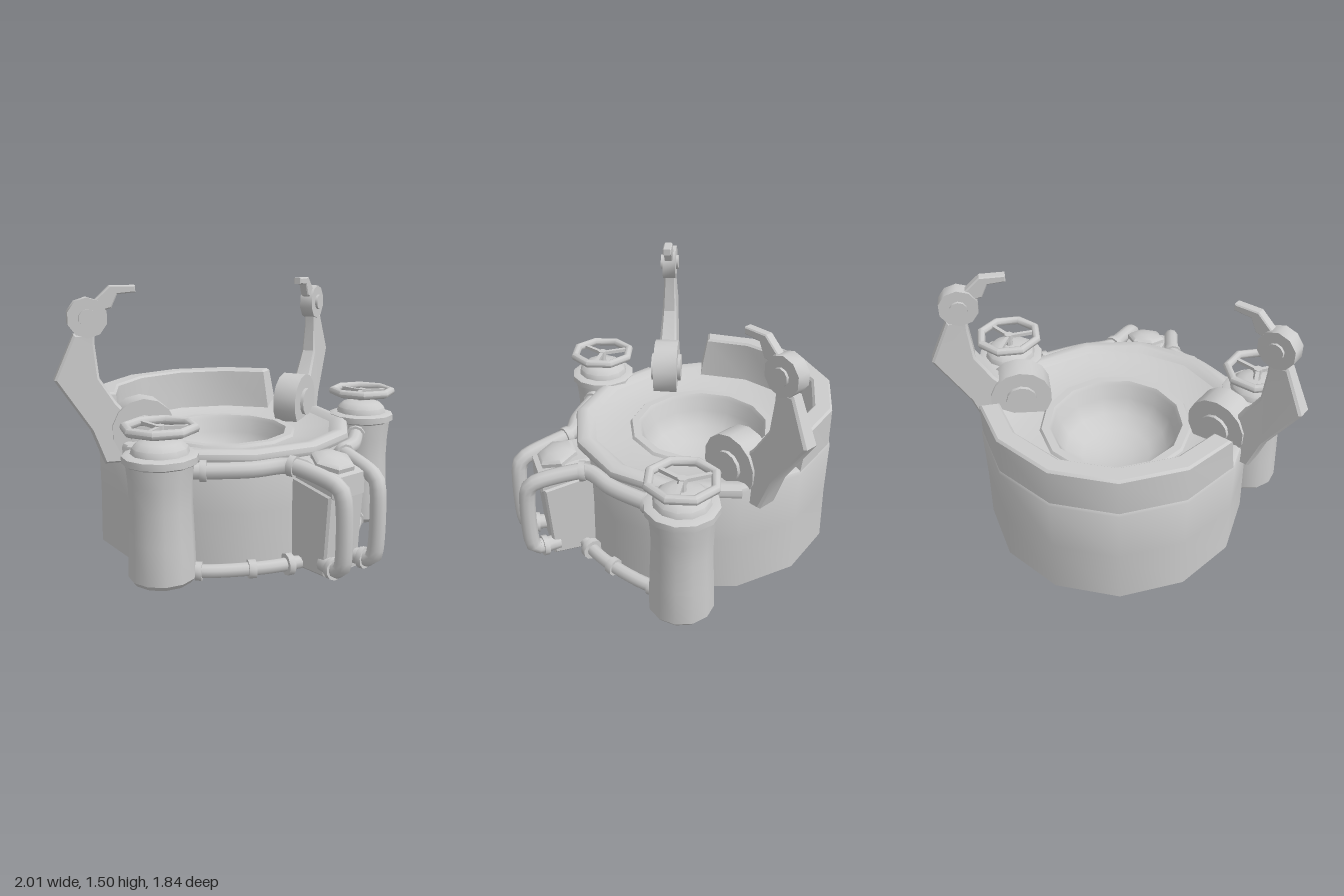
import * as THREE from 'three';
import { toCreasedNormals } from 'three/addons/utils/BufferGeometryUtils.js';

const V = (x, y, z) => new THREE.Vector3(x, y, z);
const P = (a) => a.map(([x, y]) => new THREE.Vector2(x, y));
const mat = new THREE.MeshStandardMaterial({ color: 0xcccccc });
const CENTRE = 0.027; // plumbing sits slightly off the middle

function add(parent, name, geo, pos = [0, 0, 0], crease = 0.65) {
  const m = new THREE.Mesh(toCreasedNormals(geo, crease), mat);
  m.name = name;
  m.position.set(...pos);
  parent.add(m);
  return m;
}

function group(parent, name, pos = [0, 0, 0]) {
  const g = new THREE.Group();
  g.name = name;
  g.position.set(...pos);
  parent.add(g);
  return g;
}

// Bevelled plate from an outline, centred on z
function plate(points, depth, bevel = 0.012) {
  const geo = new THREE.ExtrudeGeometry(new THREE.Shape(P(points)), {
    depth: depth - 2 * bevel, bevelSize: bevel, bevelThickness: bevel, bevelOffset: -bevel, bevelSegments: 1,
  });
  return geo.translate(0, 0, bevel - depth / 2);
}

// Cylinder lying along local z
const disc = (r, depth, sides = 12) => new THREE.CylinderGeometry(r, r, depth, sides).rotateX(Math.PI / 2);

// Pipe along a curve, with collars given as [t, radius, length]
function pipe(parent, name, pts, r, collars) {
  const g = group(parent, name);
  const curve = new THREE.CatmullRomCurve3(pts.map((p) => V(...p)), false, 'centripetal');
  add(g, 'pipeRun', new THREE.TubeGeometry(curve, 36, r, 10), [0, 0, 0], 1);
  for (const [t, cr, len] of collars) {
    const c = add(g, 'pipeCollar', disc(cr, len, 10), curve.getPointAt(t).toArray());
    c.quaternion.setFromUnitVectors(V(0, 0, 1), curve.getTangentAt(t));
  }
}

// Thirteen-sided drum with a raised rim, dished top and sunken bowl
function buildDrum(parent) {
  const g = group(parent, 'drum', [0.012, 0, -0.193]);
  g.rotation.y = 0.022;
  const step = (2 * Math.PI) / 13;
  add(g, 'drumBody', new THREE.LatheGeometry(P([
    [0, 0.02], [0.725, 0.02], [0.743, 0.035], [0.738, 0.35], [0.743, 0.65], [0.735, 0.668], [0.71, 0.677],
    [0.67, 0.67], [0.6, 0.632], [0.43, 0.617], [0.418, 0.632], [0.375, 0.632], [0.361, 0.612],
    [0.34, 0.53], [0.29, 0.45], [0.2, 0.395], [0.1, 0.37], [0, 0.36],
  ]), 13));
  // Rounded lip along the front half
  add(g, 'frontLip', new THREE.LatheGeometry(P([
    [0.72, 0.615], [0.745, 0.62], [0.753, 0.64], [0.747, 0.665], [0.72, 0.682], [0.68, 0.682], [0.64, 0.655],
  ]), 6, -3 * step, 6 * step));

  // Raised guard around the back, following the drum's sides
  const arc = (r, from, dir) => Array.from({ length: 6 }, (_, i) => {
    const a = (from + dir * i) * step;
    return [r * Math.sin(a), -r * Math.cos(a)];
  });
  const guard = plate([...arc(0.736, 4, 1), ...arc(0.615, 9, -1)], 0.26, 0.012).rotateX(-Math.PI / 2);
  const p = guard.attributes.position;
  for (let i = 0; i < p.count; i++) {
    const x = p.getX(i), z = p.getZ(i), t = p.getY(i) / 0.26 + 0.5;
    let a = Math.atan2(x, -z), r = Math.hypot(x, z);
    if (Math.abs(a) > 2.2 * step) a *= 1 - 0.06 * t; // ends lean back
    if (r < 0.66) r += 0.015 * t; // inner face leans outward
    p.setXYZ(i, r * Math.sin(a), p.getY(i), -r * Math.cos(a));
  }
  add(g, 'rearGuard', guard, [0, 0.754, 0], 0.5);
}

// Tank with flange, domed lid and a hand wheel
function buildTank(parent, side) {
  const g = group(parent, side > 0 ? 'leftTank' : 'rightTank', [CENTRE + side * 0.75, 0, 0.21]);
  add(g, 'tankBody', new THREE.LatheGeometry(P([
    [0, 0.025], [0.155, 0.025], [0.175, 0.05], [0.168, 0.25], [0.161, 0.42], [0.165, 0.54], [0.175, 0.64],
    [0.194, 0.65], [0.194, 0.685], [0.175, 0.692], [0.15, 0.695], [0.142, 0.725], [0.11, 0.753], [0.06, 0.763], [0, 0.763],
  ]), 12));
  add(g, 'wheelStem', new THREE.CylinderGeometry(0.02, 0.024, 0.08, 8), [0, 0.785, 0]);
  add(g, 'wheelRim', new THREE.TorusGeometry(0.176, 0.025, 8, 8).rotateX(Math.PI / 2), [0, 0.822, 0], 0.8);
  add(g, 'wheelHub', new THREE.CylinderGeometry(0.026, 0.026, 0.03, 8), [0, 0.82, 0]);
  for (let i = 0; i < 3; i++) {
    const spoke = add(g, 'wheelSpoke', new THREE.BoxGeometry(0.022, 0.02, 0.17).translate(0, 0, -0.09), [0, 0.82, 0]);
    spoke.rotation.y = (i * 2 * Math.PI) / 3;
  }
}

// Front housing with a sloping top and six-sided cap
function buildHousing(parent) {
  const g = group(parent, 'frontHousing', [CENTRE, 0, 0]);
  const slab = (name, outline, w) =>
    add(g, name, plate(outline.map(([z, y]) => [-z, y]), w).rotateY(Math.PI / 2));
  slab('housingBox', [[0.45, 0.03], [0.755, 0.03], [0.785, 0.47], [0.45, 0.53]], 0.26);
  slab('housingLid', [[0.45, 0.515], [0.8, 0.45], [0.8, 0.565], [0.6, 0.62], [0.45, 0.62]], 0.24);
  const cap = add(g, 'hexCap', new THREE.LatheGeometry(P([
    [0, -0.04], [0.1, -0.04], [0.118, -0.02], [0.118, 0.01], [0.1, 0.025], [0.05, 0.042], [0, 0.045],
  ]), 6, Math.PI / 6), [0, 0.61, 0.675]);
  cap.rotation.x = 0.24;
}

function buildPipes(parent, side) {
  const g = group(parent, side > 0 ? 'leftPipes' : 'rightPipes', [CENTRE, 0, 0]);
  const s = (pts) => pts.map(([x, y, z]) => [side * x, y, z]);
  pipe(g, 'upperPipe', s([
    [0.66, 0.59, 0.25], [0.53, 0.59, 0.36], [0.37, 0.592, 0.475], [0.25, 0.598, 0.525], [0.2, 0.6, 0.56],
    [0.178, 0.593, 0.63], [0.14, 0.55, 0.82], [0.133, 0.525, 0.86], [0.128, 0.47, 0.876],
    [0.122, 0.15, 0.876], [0.12, 0.108, 0.86], [0.115, 0.095, 0.82], [0.1, 0.095, 0.72],
  ]), 0.044, [[0.08, 0.058, 0.035], [0.4, 0.056, 0.035], [0.94, 0.058, 0.03]]);
  pipe(g, 'lowerPipe', s([
    [0.68, 0.06, 0.24], [0.56, 0.06, 0.36], [0.35, 0.06, 0.49], [0.2, 0.06, 0.55], [0.08, 0.06, 0.58],
  ]), 0.036, [[0.16, 0.05, 0.035], [0.55, 0.05, 0.04], [0.84, 0.06, 0.035]]);
}

// Jointed arm; built in its own plane, then turned outward
function buildArm(parent, side) {
  const mirror = group(parent, side > 0 ? 'leftArm' : 'rightArm');
  mirror.scale.x = side;
  const g = group(mirror, 'armAssembly', [0.575, 0, -0.17]);
  g.rotation.y = 0.41;
  const local = (pts) => pts.map(([x, y]) => [(x - 0.575) / 0.917, y]);

  add(g, 'shoulderDisc', disc(0.172, 0.145, 14), [0, 0.73, 0]);
  add(g, 'shoulderHub', disc(0.085, 0.185, 12), [0, 0.73, 0]);

  const blade = plate(local([
    [0.77, 0.56], [0.83, 0.74], [0.992, 1.015], [0.893, 1.25], [0.795, 1.25], [0.795, 1.19],
    [0.78, 1.02], [0.7, 0.88], [0.63, 0.8], [0.64, 0.66], [0.67, 0.56],
  ]), 0.1);
  const p = blade.attributes.position;
  for (let i = 0; i < p.count; i++) { // thicker towards the foot
    const t = THREE.MathUtils.clamp((p.getY(i) - 0.6) / 0.6, 0, 1);
    p.setZ(i, p.getZ(i) * (1.35 - 0.65 * t));
  }
  add(g, 'armBlade', blade, [0, 0, 0], 0.4);

  const [[wx, wy]] = local([[0.826, 1.333]]);
  add(g, 'wristDisc', disc(0.105, 0.08, 10), [wx, wy, 0]);
  add(g, 'wristHub', disc(0.046, 0.11, 10), [wx, wy, 0]);
  add(g, 'claw', plate(local([
    [0.593, 1.458], [0.68, 1.45], [0.71, 1.38], [0.78, 1.36], [0.8, 1.41], [0.715, 1.495], [0.593, 1.495],
  ]), 0.05, 0.006), [0, 0, 0], 0.4);
}

export function createModel() {
  const model = new THREE.Group();
  model.name = 'tankStation';
  buildDrum(model);
  buildHousing(model);
  for (const side of [1, -1]) {
    buildTank(model, side);
    buildPipes(model, side);
    buildArm(model, side);
  }
  return model;
}
